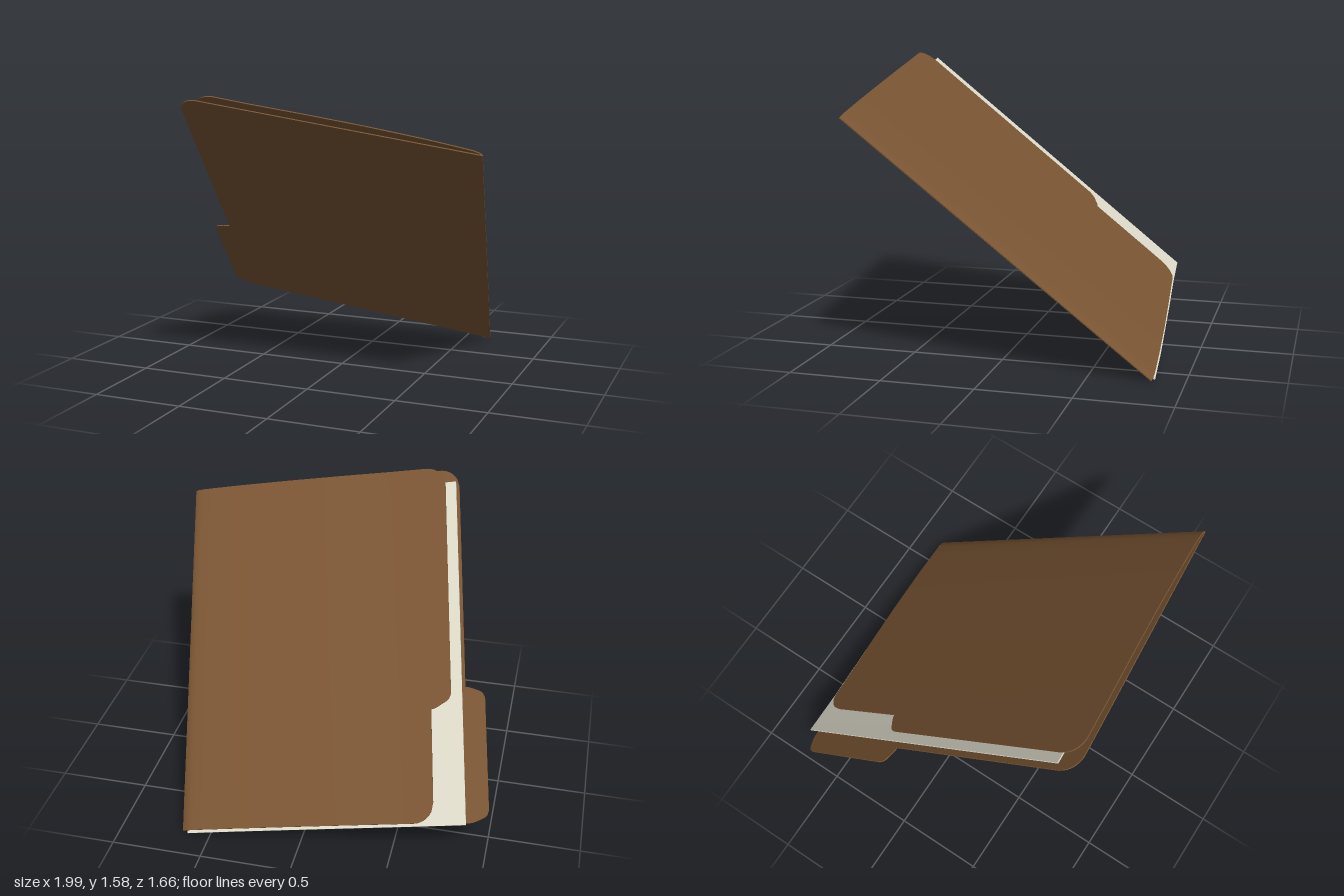
import * as THREE from 'three';
import { toCreasedNormals } from 'three/addons/utils/BufferGeometryUtils.js';

const brown = new THREE.MeshStandardMaterial({ color: 0x7a5533 });
brown.name = 'brown card';
const cream = new THREE.MeshStandardMaterial({ color: 0xdedaca });
cream.name = 'cream paper';

// Height at distance u from the spine, interpolated along a bend profile.
function heightAt(profile, u) {
  for (let i = 1; i < profile.length; i++) {
    const [u0, n0] = profile[i - 1], [u1, n1] = profile[i];
    if (u <= u1) return n0 + (n1 - n0) * (u - u0) / (u1 - u0);
  }
  return profile[profile.length - 1][1];
}

// Thin bent sheet lofted through stations [u, vMin, vMax].
function sheet(name, stations, profile, thickness, material) {
  const rings = stations.map(([u, v0, v1]) => {
    const n = heightAt(profile, u), t = thickness / 2;
    return [[u, v0, n - t], [u, v1, n - t], [u, v1, n + t], [u, v0, n + t]];
  });
  const pos = [];
  const quad = (a, b, c, d) => pos.push(...a, ...b, ...c, ...a, ...c, ...d);
  for (let i = 1; i < rings.length; i++) {
    const p = rings[i - 1], q = rings[i];
    for (let k = 0; k < 4; k++) {
      const m = (k + 1) % 4;
      quad(p[k], p[m], q[m], q[k]);
    }
  }
  quad(...[...rings[0]].reverse());
  quad(...rings[rings.length - 1]);
  const geo = new THREE.BufferGeometry();
  geo.setAttribute('position', new THREE.Float32BufferAttribute(pos, 3));
  const mesh = new THREE.Mesh(toCreasedNormals(geo, 0.6), material);
  mesh.name = name;
  return mesh;
}

// Inset of a rounded corner that ends at u = end.
function corner(u, end, r) {
  const t = THREE.MathUtils.clamp((u - end + r) / r, 0, 1);
  return r * (1 - Math.sqrt(1 - t * t));
}

// Evenly spaced values from a to b.
function steps(a, b, count) {
  return Array.from({ length: count + 1 }, (_, i) => a + (b - a) * i / count);
}

export function createModel() {
  const model = new THREE.Group();
  model.name = 'folder';
  const L = 2.045;
  const ease = (t) => t * t * (3 - 2 * t);

  // Back cover: flat, with a tab past its free edge.
  const backStations = [
    ...[0, ...steps(1.475, 1.585, 10)].map((u) => [u, 0, L - corner(u, 1.585, 0.11)]),
    ...steps(1.585, 1.69, 10).map((u) => {
      const t = (u - 1.585) / 0.105;
      const round = corner(u, 1.69, 0.035);
      return [u, 0.03 * ease(t) + round, 0.745 - 0.03 * ease(t) - round];
    }),
  ];
  model.add(sheet('backCover', backStations, [[0, 0], [1.7, 0]], 0.006, brown));

  // Front cover: bowed away from the spine, cut back beside the tab.
  const bow = [[0, 0], [0.015, 0.01], [0.05, 0.017], [0.12, 0.022], [0.3, 0.031],
    [0.6, 0.039], [0.9, 0.041], [1.2, 0.04], [1.51, 0.043]];
  const frontStations = [
    ...[...bow.map((p) => p[0]).filter((u) => u < 1.25), ...steps(1.29, 1.4, 10)]
      .map((u) => [u, corner(u, 1.4, 0.11), L]),
    ...steps(1.4, 1.51, 10).map((u) => {
      const t = (u - 1.4) / 0.11;
      return [u, 0.62 + 0.045 * ease(t) + corner(u, 1.51, 0.035), L - corner(u, 1.51, 0.11)];
    }),
  ];
  model.add(sheet('frontCover', frontStations, bow, 0.006, brown));

  // Loose papers between the covers.
  const papers = [[0.03, 0.006], [0.3, 0.02], [0.9, 0.03], [1.3, 0.032], [1.57, 0.042]];
  model.add(sheet('papers', papers.map(([u]) => [u, -0.015, 1.95]), papers, 0.008, cream));

  // Lean the whole folder: axes run across, along the spine, and out of the cover.
  const along = new THREE.Vector3(0.34, 1.33, 1.52).normalize();
  const across = new THREE.Vector3(-1.55, 0.24, 0.14);
  across.addScaledVector(along, -across.dot(along)).normalize();
  const out = new THREE.Vector3().crossVectors(across, along);
  const lean = new THREE.Matrix4().makeBasis(across, along, out);
  model.quaternion.setFromRotationMatrix(lean);
  model.position.set(0.655, 0.003, -0.83);

  const root = new THREE.Group();
  root.name = 'leaningFolder';
  root.add(model);
  return root;
}
